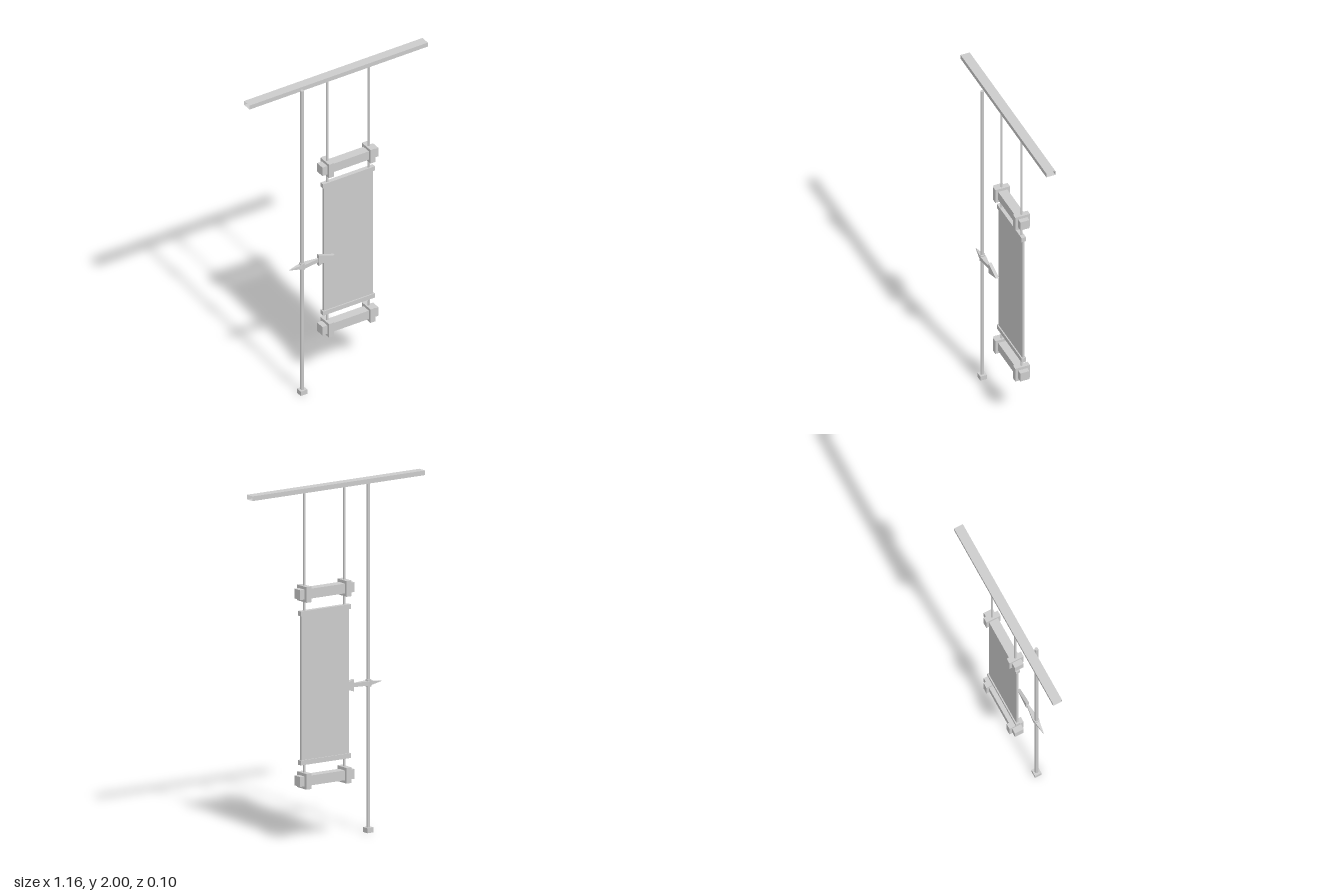
import * as THREE from 'three';

const grey = new THREE.MeshStandardMaterial({ color: 0xcccccc, flatShading: true, side: THREE.DoubleSide });

export function createModel() {
  const model = new THREE.Group();
  const add = (name, geometry, x, y, z) => {
    const mesh = new THREE.Mesh(geometry, grey);
    mesh.name = name;
    mesh.position.set(x, y, z);
    model.add(mesh);
    return mesh;
  };
  const box = (name, w, h, d, x, y, z) => add(name, new THREE.BoxGeometry(w, h, d), x, y, z);
  // vertical rod between two heights
  const rod = (name, r, sides, x, y0, y1, z) =>
    add(name, new THREE.CylinderGeometry(r, r, y1 - y0, sides), x, (y0 + y1) / 2, z);

  // top rail: a long sleeve with open ends
  const sleeve = new THREE.CylinderGeometry(Math.SQRT1_2, Math.SQRT1_2, 1, 4, 1, true);
  sleeve.rotateY(Math.PI / 4).rotateZ(Math.PI / 2).scale(1.16, 0.026, 0.055);
  add('topRail', sleeve, 0, 1.987, -0.0155);

  // hanging banner
  const bz = -0.005, cx = 0.07;
  box('bannerCloth', 0.32, 0.84, 0.012, cx, 0.877, bz);
  for (const y of [1.293, 0.457]) box('clothBar', 0.337, 0.027, 0.026, cx, y, bz);
  for (const y of [1.403, 0.355]) {
    box('crossBeam', 0.365, 0.055, 0.055, cx, y, bz);
    for (const x of [-0.064, 0.206]) box('beamClamp', 0.033, 0.088, 0.088, x, y, bz);
  }
  for (const x of [-0.064, 0.206]) {
    rod('hangingRod', 0.0065, 8, x, 1.3, 1.998, bz);
    rod('lowerRod', 0.0065, 8, x, 0.36, 0.45, bz);
  }

  // pole with its foot block
  const px = -0.249, pz = 0.029, ay = 0.838;
  rod('pole', 0.0105, 8, px, 0.02, 1.99, pz);
  box('poleFoot', 0.042, 0.028, 0.04, px, 0.014, pz);

  // pointer: collar, tapered tail and flat arrowhead
  rod('pointerCollar', 0.0165, 8, px, ay - 0.02, ay + 0.02, pz);
  // stations along x: [x, half height, half depth]
  const stations = [[-0.335, 0.001, 0.001], [-0.265, 0.011, 0.012], [-0.24, 0.012, 0.017], [-0.14, 0.011, 0.004]];
  const tail = new THREE.BoxGeometry(1, 2, 2, stations.length - 1, 1, 1);
  const p = tail.attributes.position;
  for (let i = 0; i < p.count; i++) {
    const [x, h, d] = stations[Math.round((p.getX(i) + 0.5) * (stations.length - 1))];
    p.setXYZ(i, x, p.getY(i) * h, p.getZ(i) * d);
  }
  tail.computeVertexNormals();
  add('pointerTail', tail, 0, ay, pz);

  const tip = new THREE.Shape([[-0.145, -0.034], [-0.04, 0], [-0.145, 0.034]].map(([x, y]) => new THREE.Vector2(x, y)));
  const head = new THREE.ExtrudeGeometry(tip, { depth: 0.018, bevelEnabled: false });
  add('pointerHead', head, 0, ay, pz - 0.009);

  return model;
}
